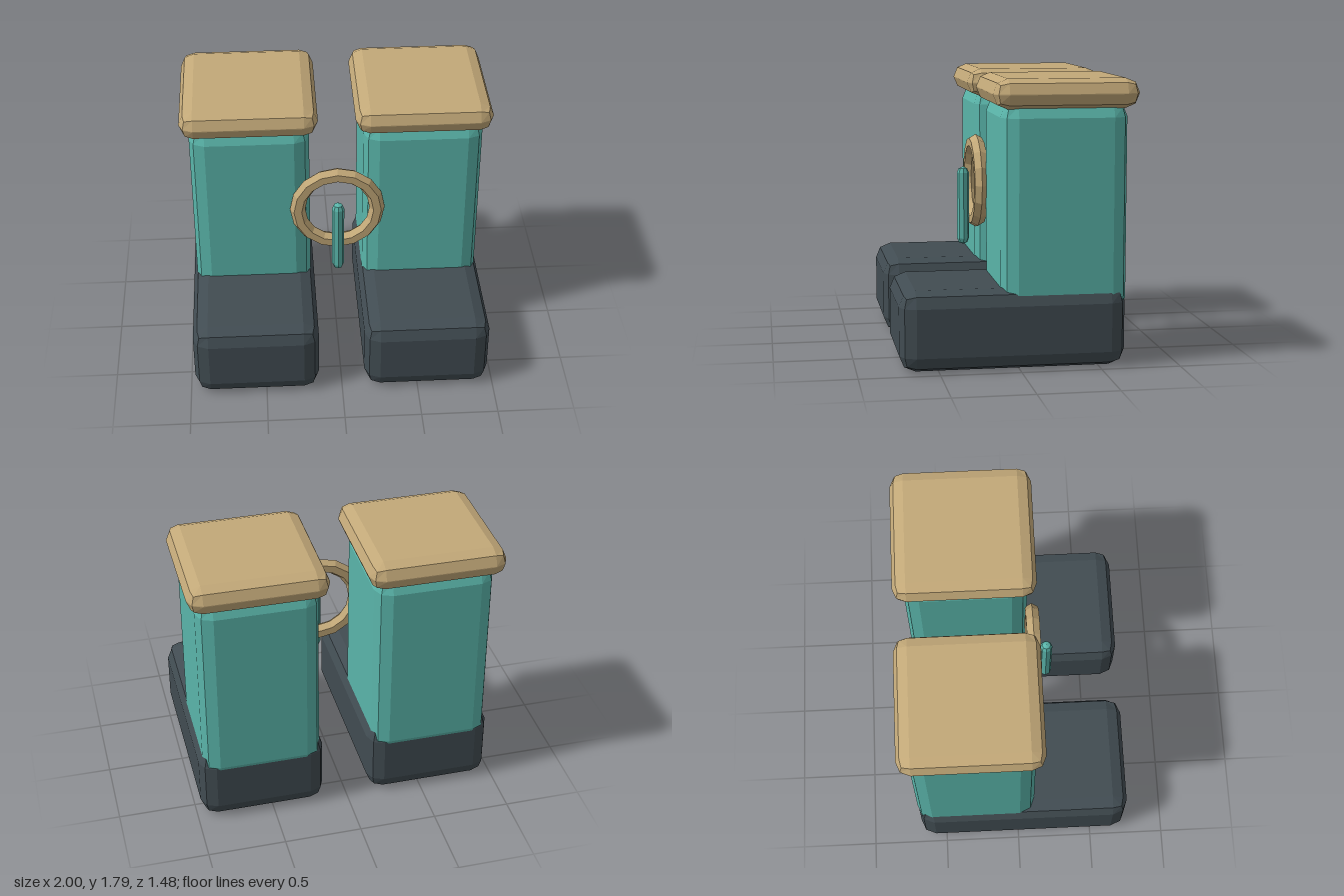
import * as THREE from 'three';
import { RoundedBoxGeometry } from 'three/addons/geometries/RoundedBoxGeometry.js';

const material = (color) => new THREE.MeshStandardMaterial({ color, flatShading: true });

export function createModel() {
  const model = new THREE.Group();
  const teal = material(0x5ab5aa);
  const tan = material(0xc2a878);
  const dark = material(0x414c52);

  const add = (parent, name, geometry, mat, x, y, z) => {
    const mesh = new THREE.Mesh(geometry, mat);
    mesh.name = name;
    mesh.position.set(x, y, z);
    parent.add(mesh);
  };

  // Box with two-step bevelled edges, given by its extents
  const bevelBox = (parent, name, mat, [x0, x1], [y0, y1], [z0, z1], bevel) => add(
    parent, name, new RoundedBoxGeometry(x1 - x0, y1 - y0, z1 - z0, 1, bevel), mat,
    (x0 + x1) / 2, (y0 + y1) / 2, (z0 + z1) / 2);

  // Pair of boots: foot, shaft and cuff
  for (const [side, s] of [['left', 1], ['right', -1]]) {
    const boot = new THREE.Group();
    boot.name = side + 'Boot';
    const span = (a, b) => (s > 0 ? [a, b] : [-b, -a]);
    bevelBox(boot, 'foot', dark, span(0.15, 0.97), [0, 0.505], [-0.67, 0.74], 0.1);
    bevelBox(boot, 'shaft', teal, span(0.175, 0.945), [0.32, 1.65], [-0.68, 0.11], 0.1);
    bevelBox(boot, 'cuff', tan, span(0.12, 1.0), [1.605, 1.79], [-0.74, 0.165], 0.09);
    model.add(boot);
  }

  // Ring and pin between the boots
  add(model, 'buckleRing', new THREE.TorusGeometry(0.26, 0.05, 6, 16), tan, 0, 1.06, 0.14);
  add(model, 'bucklePin', new THREE.CapsuleGeometry(0.04, 0.44, 2, 8), teal, 0, 0.895, 0.225);

  return model;
}
